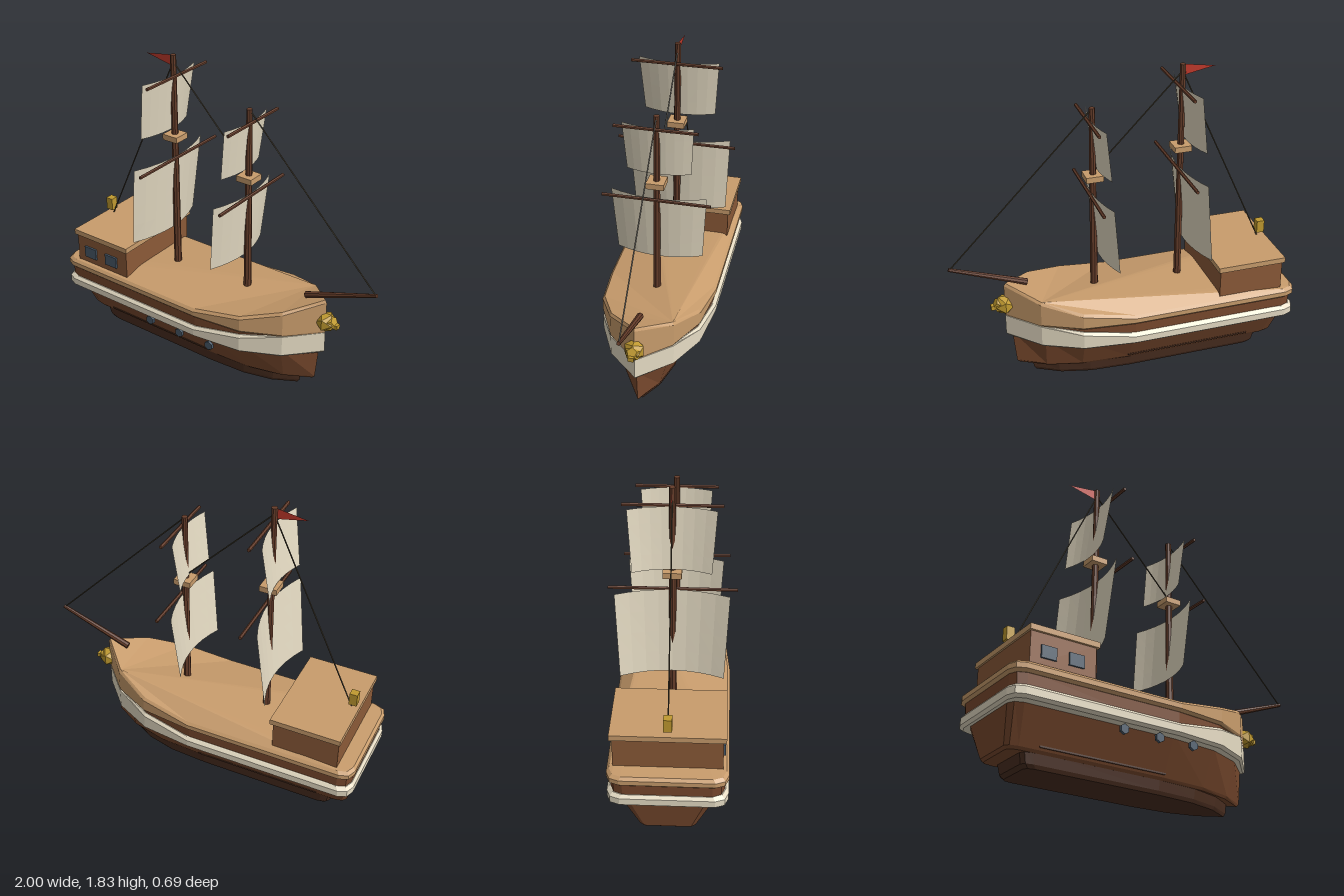
import * as THREE from 'three';

const mat = (color, side = THREE.FrontSide) =>
  new THREE.MeshStandardMaterial({ color, flatShading: true, side });
const M = {
  keel: mat(0x4a2e20), hull: mat(0x7a4a2e), tan: mat(0xc89c6c), cream: mat(0xe6dcc4),
  mast: mat(0x663d2a), cabin: mat(0x8b5a38), glass: mat(0x4a5b6b), gold: mat(0xc09a30),
  rope: mat(0x4a4232), sail: mat(0xe6dcc4, THREE.DoubleSide), flag: mat(0xc0392b, THREE.DoubleSide),
};

// Plan outline: bow, along the +z side to the stern, back along the -z side
const half = [[0.52, 0.18], [0.3, 0.285], [0, 0.32], [-0.93, 0.32], [-0.98, 0.3], [-1, 0.25]];
const outline = [[0.69, 0], ...half, ...half.map(([x, z]) => [x, -z]).reverse()];
const sheer = (x) => 0.16 * Math.pow(Math.max(0, x) / 0.69, 1.5);

// Outline stretched to x0..x1 and half width w, at height y (number or function of x)
const ring = (x0, x1, w, y) => outline.map(([x, z]) => [
  x0 + ((x + 1) / 1.69) * (x1 - x0),
  typeof y === 'function' ? y(x) : y,
  (z * w) / 0.32,
]);

// Skin over stacked rings, capped at both ends
function loft(rings) {
  const n = outline.length, idx = [], last = (rings.length - 1) * n;
  for (let i = 0; i < rings.length - 1; i++) {
    for (let j = 0; j < n; j++) {
      const a = i * n + j, b = i * n + ((j + 1) % n);
      idx.push(a, a + n, b + n, a, b + n, b);
    }
  }
  for (let j = 0; j < n - 2; j++) {
    idx.push(n - 1, j, j + 1, last + n - 1, last + j + 1, last + j);
  }
  const g = new THREE.BufferGeometry();
  g.setAttribute('position', new THREE.Float32BufferAttribute(rings.flat(2), 3));
  g.setIndex(idx);
  g.computeVertexNormals();
  return g;
}

// Sail: bellied forward (+x), leaning back and narrowing toward the foot
function sailGeometry(x, yTop, yBottom, wTop, wBottom, lean, belly) {
  const g = new THREE.PlaneGeometry(2, 1, 8, 4);
  const p = g.attributes.position;
  for (let i = 0; i < p.count; i++) {
    const s = p.getX(i), t = 0.5 - p.getY(i);
    p.setXYZ(i, x - lean * t - belly * s * s,
      yTop + (yBottom - yTop) * t, -s * (wTop + (wBottom - wTop) * t));
  }
  g.computeVertexNormals();
  return g;
}

export function createModel() {
  const model = new THREE.Group();
  const add = (name, geometry, material, x = 0, y = 0, z = 0, parent = model) => {
    const m = new THREE.Mesh(geometry, material);
    m.name = name;
    m.position.set(x, y, z);
    parent.add(m);
    return m;
  };
  const box = (name, w, h, d, material, x, y, z, parent) =>
    add(name, new THREE.BoxGeometry(w, h, d), material, x, y, z, parent);
  // Round bar between two points
  const bar = (name, a, b, r0, r1, sides, material, parent) => {
    const A = new THREE.Vector3(...a), B = new THREE.Vector3(...b);
    const m = add(name, new THREE.CylinderGeometry(r1, r0, A.distanceTo(B), sides), material, 0, 0, 0, parent);
    m.position.copy(A).add(B).multiplyScalar(0.5);
    m.quaternion.setFromUnitVectors(new THREE.Vector3(0, 1, 0), B.sub(A).normalize());
    return m;
  };

  // Hull, from the keel up
  add('keel', loft([
    ring(-0.81, 0.52, 0.13, 0), ring(-0.83, 0.535, 0.14, 0.02), ring(-0.845, 0.545, 0.15, 0.09),
  ]), M.keel);
  add('lowerHull', loft([
    ring(-0.92, 0.62, 0.148, 0.075), ring(-0.935, 0.635, 0.16, 0.09), ring(-0.97, 0.655, 0.262, 0.3),
  ]), M.hull);
  add('upperHull', loft([
    ring(-0.98, 0.67, 0.3, 0.3), ring(-0.985, 0.675, 0.303, 0.425),
  ]), M.hull);
  const waleTop = (base) => (x) => Math.min(0.419, base + sheer(x));
  add('wale', loft([
    ring(-0.985, 0.675, 0.305, 0.28), ring(-1, 0.69, 0.322, 0.295),
    ring(-1, 0.69, 0.322, waleTop(0.335)), ring(-0.985, 0.685, 0.306, waleTop(0.352)),
  ]), M.cream);
  add('bulwarkAndDeck', loft([
    ring(-0.985, 0.685, 0.306, 0.415), ring(-1, 0.69, 0.322, 0.43),
    ring(-1, 0.69, 0.322, (x) => 0.458 + sheer(x)), ring(-0.985, 0.68, 0.308, (x) => 0.474 + sheer(x)),
  ]), M.tan);
  for (const s of [1, -1]) box('strake', 0.76, 0.01, 0.01, M.keel, -0.38, 0.107, s * 0.168);

  // Portholes
  for (const x of [-0.345, -0.125, 0.093]) {
    add('porthole', new THREE.CylinderGeometry(0.028, 0.028, 0.018, 6), M.glass, x, 0.248, 0.292)
      .rotation.x = Math.PI / 2;
  }

  // Stern cabin
  const cabin = new THREE.Group();
  cabin.name = 'cabin';
  model.add(cabin);
  box('cabinWalls', 0.385, 0.2, 0.58, M.cabin, -0.712, 0.565, 0, cabin);
  box('cabinRoof', 0.41, 0.032, 0.61, M.tan, -0.71, 0.67, 0, cabin);
  for (const x of [-0.8, -0.638]) box('cabinWindow', 0.088, 0.07, 0.02, M.glass, x, 0.553, 0.291, cabin);
  box('lantern', 0.046, 0.076, 0.046, M.gold, -0.88, 0.748, 0, cabin);

  // Masts; each sail: [top, foot, half width top, half width foot, lean, belly, yard y, yard half length]
  const masts = [
    { name: 'mainMast', x: -0.36, y0: 0.47, y1: 1.83, top: 1.342, sails: [
      [1.225, 0.735, 0.305, 0.282, 0.05, 0.065, 1.222, 0.345],
      [1.715, 1.375, 0.23, 0.207, 0.045, 0.045, 1.715, 0.26]] },
    { name: 'foreMast', x: 0.155, y0: 0.52, y1: 1.64, top: 1.232, sails: [
      [1.138, 0.73, 0.27, 0.247, 0.04, 0.055, 1.135, 0.305],
      [1.57, 1.272, 0.197, 0.18, 0.035, 0.035, 1.57, 0.23]] },
  ];
  for (const { name, x, y0, y1, top, sails } of masts) {
    const g = new THREE.Group();
    g.name = name;
    model.add(g);
    bar('mastPole', [x, y0, 0], [x, y1, 0], 0.023, 0.017, 8, M.mast, g);
    box('lookout', 0.1, 0.034, 0.1, M.tan, x, top, 0, g);
    for (const [yt, yb, wt, wb, lean, belly, yy, len] of sails) {
      add('sail', sailGeometry(x + 0.012, yt, yb, wt, wb, lean, belly), M.sail, 0, 0, 0, g);
      bar('yard', [x + 0.026, yy, -len], [x + 0.026, yy, len], 0.01, 0.01, 6, M.mast, g);
    }
  }

  // Bowsprit and rigging
  bar('bowsprit', [0.555, 0.622, 0], [0.992, 0.781, 0], 0.02, 0.011, 8, M.mast);
  const ropes = [
    [[-0.36, 1.79, 0], [-0.87, 0.68, 0]],
    [[-0.36, 1.79, 0], [0.155, 1.26, 0]],
    [[0.155, 1.635, 0], [0.98, 0.785, 0]],
  ];
  for (const [a, b] of ropes) bar('rope', a, b, 0.004, 0.004, 5, M.rope);

  // Pennant
  const pennant = new THREE.Shape([
    new THREE.Vector2(-0.37, 1.828), new THREE.Vector2(-0.55, 1.8), new THREE.Vector2(-0.37, 1.765),
  ]);
  add('pennant', new THREE.ShapeGeometry(pennant), M.flag);

  // Figurehead
  const figure = new THREE.Group();
  figure.name = 'figurehead';
  figure.position.set(0.692, 0.497, 0);
  model.add(figure);
  add('mane', new THREE.IcosahedronGeometry(0.062, 0), M.gold, 0, 0, 0, figure);
  add('head', new THREE.DodecahedronGeometry(0.048, 0), M.gold, 0.02, 0, 0, figure);
  box('snout', 0.03, 0.026, 0.032, M.gold, 0.064, -0.008, 0, figure);

  return model;
}
